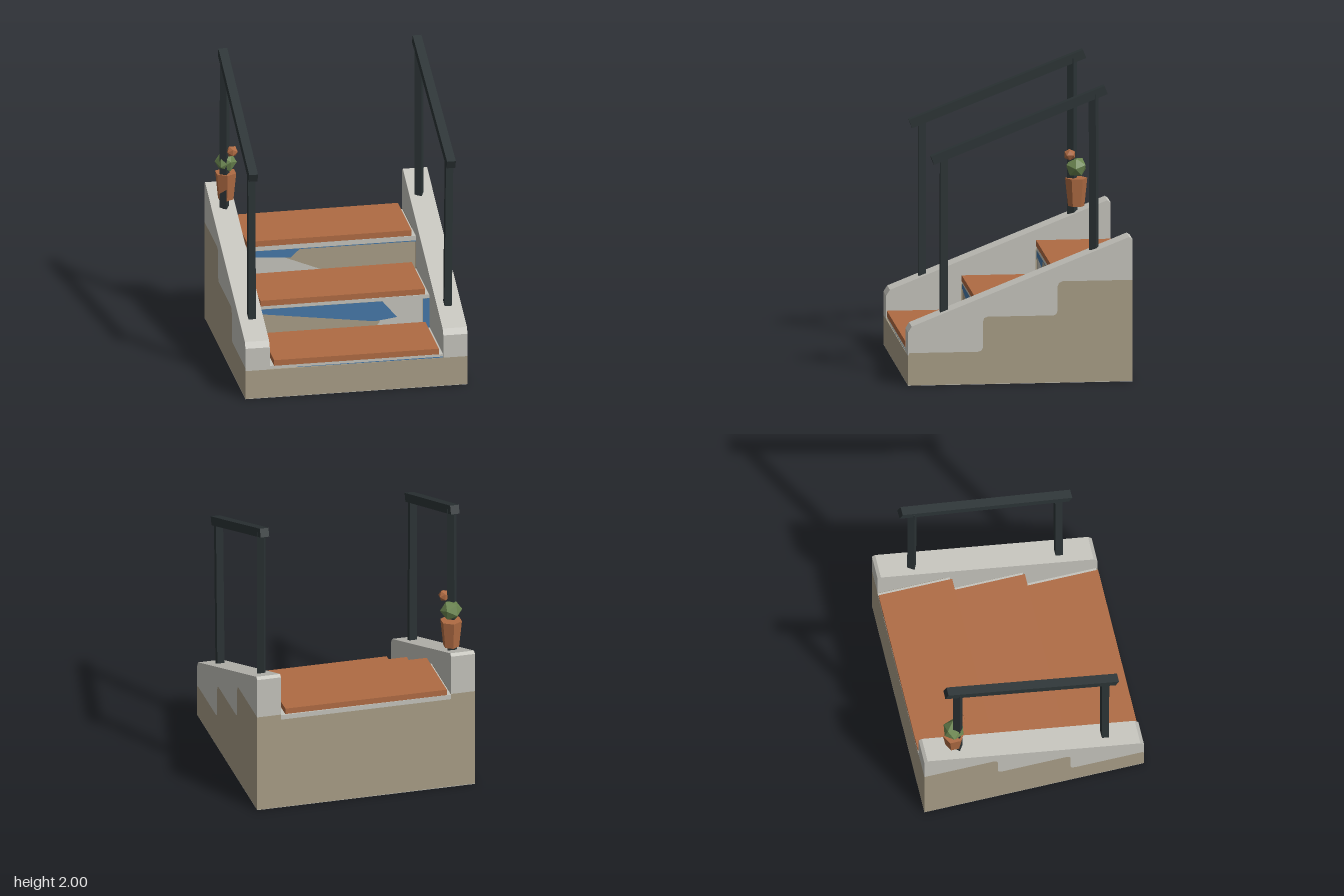
import * as THREE from 'three';

const mat = (name, color, side = THREE.FrontSide) => {
  const m = new THREE.MeshStandardMaterial({ color, side });
  m.name = name;
  return m;
};

export function createModel() {
  const root = new THREE.Group();
  root.name = 'porchSteps';
  const stone = mat('paleStone', 0xc4c3bc);
  const tan = mat('tanStone', 0xa89d86);
  const wood = mat('terracottaWood', 0xaf6b43);
  const blue = mat('bluePaint', 0x4678a8);
  const iron = mat('darkIron', 0x2c3436);
  const leaf = mat('leafGreen', 0x6b8550);

  const add = (name, geo, material, parent = root) => {
    const m = new THREE.Mesh(geo, material);
    m.name = name;
    parent.add(m);
    return m;
  };
  const box = (name, x0, x1, y0, y1, z0, z1, material) => {
    const m = add(name, new THREE.BoxGeometry(x1 - x0, y1 - y0, z1 - z0), material);
    m.position.set((x0 + x1) / 2, (y0 + y1) / 2, (z0 + z1) / 2);
    return m;
  };
  const toShape = pts => new THREE.Shape(pts.map(p => new THREE.Vector2(p[0], p[1])));
  // Extrude a (z, y) profile from x0 to x1
  const profile = (name, pts, x0, x1, material) => {
    const g = new THREE.ExtrudeGeometry(toShape(pts), { depth: x1 - x0, bevelEnabled: false });
    g.rotateY(-Math.PI / 2);
    g.translate(x1, 0, 0);
    return add(name, g, material);
  };

  // Softened step line that divides the two colours of each side wall
  const stepLine = [
    [0.755, 0.2], [0.745, 0.22], [0.285, 0.22], [0.26, 0.228], [0.25, 0.25],
    [0.25, 0.425], [0.242, 0.448], [0.22, 0.457],
    [-0.225, 0.457], [-0.242, 0.465], [-0.25, 0.485],
    [-0.25, 0.65], [-0.26, 0.677], [-0.285, 0.688], [-0.755, 0.688],
  ];
  const lower = [...stepLine, [-0.755, 0], [0.755, 0]];
  const upper = [...stepLine, [-0.755, 0.965], [-0.733, 0.98], [0.73, 0.4], [0.755, 0.36]];
  const inner = 0.59;
  for (const s of [1, -1]) {
    const side = s > 0 ? 'left' : 'right';
    const x0 = s > 0 ? inner : -0.755, x1 = s > 0 ? 0.755 : -inner;
    profile(side + 'WallBase', lower, x0, x1, tan);
    profile(side + 'Parapet', upper, x0, x1, stone);
  }

  // Solid stepped core between the walls, with a grey underside
  profile('stepCore', [
    [0.755, 0], [0.755, 0.2], [0.24, 0.2], [0.24, 0.43], [-0.26, 0.43],
    [-0.26, 0.65], [-0.755, 0.65], [-0.755, 0],
  ], -inner, inner, tan);
  box('underside', -0.755, 0.755, -0.002, 0.002, -0.755, 0.755, stone);

  // Slabs and slightly uneven treads
  [
    [0.2, 0.222, 0.255, 0.75, 0.002],
    [0.43, 0.455, -0.243, 0.247, 0.006],
    [0.65, 0.683, -0.755, -0.253, 0.004],
  ].forEach(([y0, y1, z0, z1, tilt], i) => {
    box('slab' + (i + 1), -inner, inner, y0, y1, z0, z1 - 0.005, stone);
    const t = box('tread' + (i + 1), -0.56, 0.56, y1 + 0.003, y1 + 0.043, z0, z1 + 0.003, wood);
    t.rotation.z = tilt;
  });

  // Painted patches on the risers
  const patch = (name, pts, z, material) => {
    const g = new THREE.ShapeGeometry(toShape(pts));
    g.translate(0, 0, z);
    add(name, g, material);
  };
  patch('riser1Grey', [[0.27, 0.43], [0.25, 0.28], [0.2, 0.22], [0.545, 0.22], [0.545, 0.43]], 0.242, stone);
  patch('riser1Blue', [[-0.59, 0.43], [-0.59, 0.4], [0.22, 0.29], [0.37, 0.31], [0.27, 0.43]], 0.244, blue);
  patch('riser1Edge', [[0.545, 0.22], [0.59, 0.22], [0.59, 0.43], [0.545, 0.43]], 0.244, blue);
  patch('riser2Grey', [[-0.55, 0.61], [-0.55, 0.45], [0.03, 0.45], [-0.08, 0.5], [-0.3, 0.59]], -0.258, stone);
  patch('riser2Blue', [[-0.59, 0.65], [-0.59, 0.575], [-0.55, 0.61], [-0.26, 0.59], [-0.2, 0.645], [0.59, 0.644], [0.59, 0.65]], -0.256, blue);
  patch('frontEdgeBlue', [[-0.4, 0.205], [-0.4, 0.202], [0.59, 0.2], [0.59, 0.207]], 0.751, blue);

  // Square bar stretched between two points
  const bar = (name, a, b, w, parent) => {
    const A = new THREE.Vector3(...a), B = new THREE.Vector3(...b);
    const m = add(name, new THREE.BoxGeometry(w, w, A.distanceTo(B)), iron, parent);
    m.position.copy(A).add(B).multiplyScalar(0.5);
    m.lookAt(B);
    return m;
  };
  for (const [side, front, back] of [['left', 0.675, 0.657], ['right', -0.67, -0.663]]) {
    const g = new THREE.Group();
    g.name = side + 'Handrail';
    root.add(g);
    bar('rail', [front, 1.515, 0.585], [back, 1.97, -0.585], 0.06, g);
    bar('frontPost', [side === 'left' ? 0.665 : -0.668, 0.475, 0.505], [front, 1.53, 0.505], 0.05, g);
    bar('backPost', [side === 'left' ? 0.658 : -0.666, 0.88, -0.505], [back, 1.94, -0.503], 0.05, g);
  }

  // Potted plant on the right wall
  const plant = new THREE.Group();
  plant.name = 'pottedPlant';
  plant.position.set(-0.652, 0, -0.53);
  root.add(plant);
  const pot = new THREE.CylinderGeometry(0.075, 0.055, 0.19, 6).toNonIndexed();
  pot.computeVertexNormals();
  add('pot', pot, wood, plant).position.y = 1.03;
  const bush = add('bush', new THREE.IcosahedronGeometry(0.075, 0), leaf, plant);
  bush.position.y = 1.2;
  bush.scale.y = 0.95;
  bush.rotation.set(0.3, 0.4, 0);
  add('flower', new THREE.IcosahedronGeometry(0.041, 0), wood, plant).position.set(0.035, 1.29, 0.048);
  return root;
}
